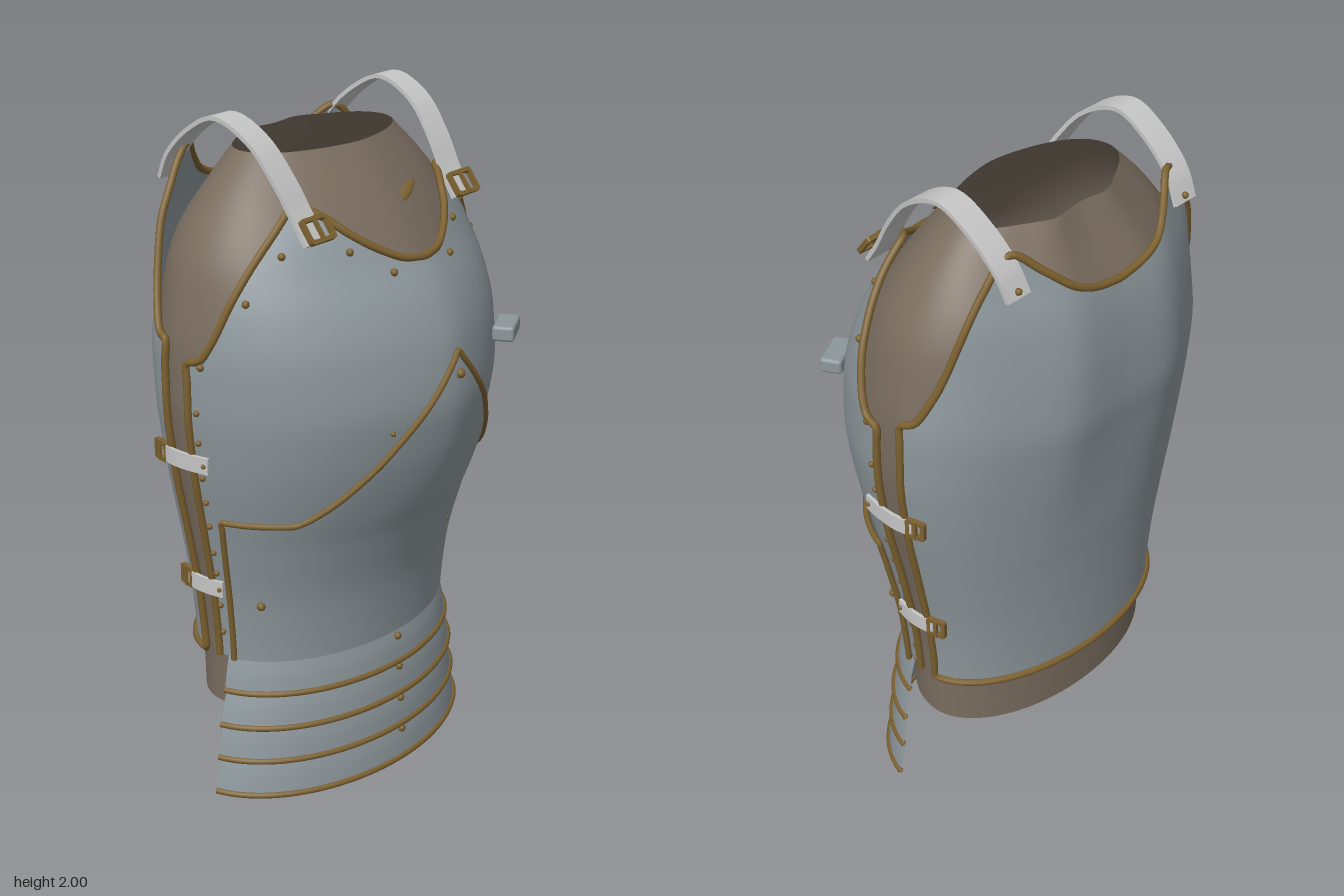
import * as THREE from 'three';
import { RoundedBoxGeometry } from 'three/addons/geometries/RoundedBoxGeometry.js';

const mat = (name, color) => Object.assign(new THREE.MeshStandardMaterial({ color, side: THREE.DoubleSide }), { name });
const RAD = Math.PI / 180, ZC = -0.1;

// Monotone cubic lookup of column k in rows sorted by column 0
function lookup(rows, v, k) {
  const n = rows.length - 1;
  let i = 0;
  while (i < n - 1 && v > rows[i + 1][0]) i++;
  const sec = j => (rows[j + 1][k] - rows[j][k]) / (rows[j + 1][0] - rows[j][0]);
  const slope = j => {
    if (j === 0) return sec(0);
    if (j === n) return sec(n - 1);
    const p = sec(j - 1), q = sec(j);
    return p * q <= 0 ? 0 : 2 * p * q / (p + q);
  };
  const h = rows[i + 1][0] - rows[i][0], u = THREE.MathUtils.clamp((v - rows[i][0]) / h, 0, 1);
  const u2 = u * u, u3 = u2 * u;
  return rows[i][k] * (2 * u3 - 3 * u2 + 1) + rows[i + 1][k] * (3 * u2 - 2 * u3)
    + h * (slope(i) * (u3 - 2 * u2 + u) + slope(i + 1) * (u3 - u2));
}

// Torso cross-sections: height, half width, front z, back z
const base = [
  [0.25, 0.445, 0.2, -0.355], [0.43, 0.45, 0.21, -0.358], [0.6, 0.465, 0.23, -0.365],
  [0.8, 0.5, 0.29, -0.38], [0.9, 0.52, 0.335, -0.39], [1.0, 0.54, 0.375, -0.398],
  [1.1, 0.555, 0.405, -0.408], [1.23, 0.567, 0.425, -0.422], [1.37, 0.565, 0.41, -0.438],
  [1.5, 0.545, 0.365, -0.435]];
const FRONT = [...base, [1.61, 0.51, 0.3, -0.42], [1.7, 0.465, 0.25, -0.39], [1.77, 0.41, 0.205, -0.35], [1.85, 0.33, 0.14, -0.3]];
const BACK = [...base, [1.6, 0.53, 0.3, -0.425], [1.7, 0.52, 0.25, -0.405], [1.8, 0.5, 0.2, -0.37], [1.89, 0.5, 0.14, -0.335]];
const BODY = [...base, [1.61, 0.52, 0.295, -0.42], [1.7, 0.475, 0.235, -0.385], [1.8, 0.4, 0.16, -0.32], [1.89, 0.31, 0.085, -0.27]];

// Point on a torso surface; t in degrees, 0 = front, 90 = left side
function at(rows, t, y, off = 0) {
  const s = Math.sin(t * RAD), c = Math.cos(t * RAD), as = Math.abs(s);
  const x = (lookup(rows, y, 1) + off) * s;
  if (c >= 0) {
    const ridge = 0.19 * THREE.MathUtils.smoothstep(y, 0.4, 1.2) * (Math.sqrt(s * s + 0.01) - 0.1) * (1 - as);
    return new THREE.Vector3(x, y, ZC + (lookup(rows, y, 2) - ZC + off) * (c - ridge));
  }
  const blade = 0.02 * THREE.MathUtils.smoothstep(y, 0.8, 1.4) * Math.exp(-(((as - 0.35) / 0.2) ** 2));
  return new THREE.Vector3(x, y, ZC + (lookup(rows, y, 3) - ZC - off) * -c - blade);
}

// Sheet between y0 and top(t)
function sheet(rows, t0, t1, y0, top, off, nt = 96, ny = 40) {
  const pos = [], idx = [];
  for (let i = 0; i <= nt; i++) {
    const t = t0 + (t1 - t0) * i / nt, yt = top(t);
    for (let j = 0; j <= ny; j++) {
      pos.push(...at(rows, t, y0 + (yt - y0) * j / ny, off));
      if (i < nt && j < ny) {
        const a = i * (ny + 1) + j, b = a + ny + 1;
        idx.push(a, b, b + 1, a, b + 1, a + 1);
      }
    }
  }
  const g = new THREE.BufferGeometry();
  g.setAttribute('position', new THREE.Float32BufferAttribute(pos, 3));
  g.setIndex(idx);
  g.computeVertexNormals();
  return g;
}

// Rolled edge through surface points
function tube(pts, r, closed = false) {
  const curve = new THREE.CatmullRomCurve3(pts, closed, 'centripetal');
  curve.arcLengthDivisions = 800;
  return new THREE.TubeGeometry(curve, 320, r, 8, closed);
}

// Points up one side, along the top and down the other side
function outline(rows, t0, t1, y0, top, off, bottom) {
  const p = [], N = 16;
  for (let i = 0; i < N; i++) p.push(at(rows, t0, y0 + (top(t0) - y0) * i / N, off));
  for (let i = 0; i <= 90; i++) { const t = t0 + (t1 - t0) * i / 90; p.push(at(rows, t, top(t), off)); }
  for (let i = 1; i <= N; i++) p.push(at(rows, t1, top(t1) + (y0 - top(t1)) * i / N, off));
  if (bottom) for (let i = 1; i < 40; i++) p.push(at(rows, t1 + (t0 - t1) * i / 40, y0, off));
  return p;
}

// Flat band bent along a curve; side is its width direction
function band(pts, side, w, thick) {
  const curve = new THREE.CatmullRomCurve3(pts), g = new THREE.BoxGeometry(w, thick, 1, 1, 1, 32);
  const p = g.attributes.position;
  for (let i = 0; i < p.count; i++) {
    const u = p.getZ(i) + 0.5, n = new THREE.Vector3().crossVectors(curve.getTangent(u), side).normalize();
    const q = curve.getPoint(u).addScaledVector(side, p.getX(i)).addScaledVector(n, p.getY(i));
    p.setXYZ(i, q.x, q.y, q.z);
  }
  g.computeVertexNormals();
  return g;
}

export function createModel() {
  const steel = mat('steel', 0x8d979c), brass = mat('brass', 0x7c6130);
  const leather = mat('brown lining', 0x7a6d5f), pale = mat('pale strap', 0xc6c6c6);
  const root = new THREE.Group();
  root.name = 'torsoArmour';
  const add = (name, geo, m, parent = root) => {
    const mesh = new THREE.Mesh(geo, m);
    mesh.name = name;
    parent.add(mesh);
    return mesh;
  };

  // Lining
  add('lining', sheet(BODY, -180, 180, 0.255, () => 1.89, -0.02), leather);

  // Breastplate, with neckline and arm openings
  const frontTop = [[0, 1.61], [7, 1.617], [16, 1.65], [26, 1.7], [35, 1.745], [47, 1.775], [55, 1.71], [69, 1.55], [77, 1.42], [80, 1.385], [85, 1.37]];
  const fTop = t => lookup(frontTop, Math.abs(t), 1);
  add('breastplate', sheet(FRONT, -85, 85, 0.43, fTop, 0, 120), steel);
  add('breastplateTrim', tube(outline(FRONT, -85, 85, 0.43, fTop, 0.004), 0.011), brass);

  // Pointed lower plate
  const chevron = [[0, 1.365], [12.7, 1.215], [27.3, 1.05], [38.5, 0.955], [47, 0.908], [50, 0.9], [75.5, 0.9]];
  const cTop = t => lookup(chevron, Math.abs(t), 1);
  add('lowerPlate', sheet(FRONT, -75.5, 75.5, 0.43, cTop, 0.012), steel);
  add('lowerPlateTrim', tube(outline(FRONT, -75.5, 75.5, 0.43, cTop, 0.014), 0.009), brass);

  // Backplate
  const backTop = [[0, 1.725], [8, 1.735], [18, 1.765], [28, 1.83], [37, 1.885], [51, 1.79], [60.5, 1.66], [69, 1.52], [77, 1.43], [83, 1.415]];
  const bTop = t => lookup(backTop, Math.abs(180 - t), 1);
  add('backplate', sheet(BACK, 97, 263, 0.43, bTop, 0, 120), steel);
  add('backplateTrim', tube(outline(BACK, 97, 263, 0.43, bTop, 0.003, true), 0.011, true), brass);

  // Overlapping skirt bands
  const hems = [[0.33, 0.478, 0.233], [0.225, 0.5, 0.24], [0.12, 0.513, 0.246], [0.012, 0.528, 0.256]];
  const tops = [[0.435, 0.455, 0.215], [0.335, 0.466, 0.222], [0.23, 0.487, 0.23], [0.125, 0.5, 0.235]];
  hems.forEach((hem, i) => {
    const mid = [(hem[0] + tops[i][0]) / 2, (hem[1] + tops[i][1]) / 2 + 0.002, (hem[2] + tops[i][2]) / 2 + 0.003];
    const rows = [hem, mid, tops[i]].map(r => [...r, -0.3]);
    add('skirtBand', sheet(rows, -79.5, 79.5, hem[0], () => tops[i][0], 0, 64, 6), steel);
    const pts = [];
    for (let k = 0; k <= 40; k++) pts.push(at(rows, -79.5 + 159 * k / 40, hem[0]));
    add('skirtTrim', tube(pts, 0.009), brass);
    rivet(at(rows, 0, tops[i][0] - 0.025, 0.003), 0.012);
  });

  // Rivets
  function rivet(p, r = 0.011) {
    add('rivet', new THREE.SphereGeometry(r, 10, 8), brass).position.copy(p);
  }
  const atX = (x, y, off) => at(FRONT, Math.asin(x / lookup(FRONT, y, 1)) / RAD, y, off);
  rivet(atX(0, 1.3, 0.014), 0.014);
  rivet(atX(-0.205, 1.165, 0.002), 0.008);
  rivet(atX(0.205, 0.73, 0.012), 0.006);
  for (const s of [-1, 1]) {
    for (const [x, y] of [[0.12, 1.59], [0.22, 1.655], [0.38, 1.66], [0.48, 1.545]]) rivet(atX(s * x, y, 0.003));
    rivet(atX(s * 0.41, 0.62, 0.014), 0.013);
    rivet(at(FRONT, s * 80, 1.365, 0.003));
    for (const y of [1.23, 1.14, 1.03, 0.95, 0.87, 0.78, 0.71, 0.6, 0.51]) rivet(at(FRONT, s * 82, y, 0.003), 0.009);
  }

  // Buckle frame with centre bar and prong
  function buckle(w, h) {
    const g = new THREE.Group();
    g.name = 'buckle';
    const rim = (a, b, P) => {
      const c = 0.3 * Math.min(a, b);
      const p = new P();
      p.moveTo(-a + c, -b); p.lineTo(a - c, -b); p.quadraticCurveTo(a, -b, a, -b + c);
      p.lineTo(a, b - c); p.quadraticCurveTo(a, b, a - c, b);
      p.lineTo(-a + c, b); p.quadraticCurveTo(-a, b, -a, b - c);
      p.lineTo(-a, -b + c); p.quadraticCurveTo(-a, -b, -a + c, -b);
      return p;
    };
    const shape = rim(w / 2, h / 2, THREE.Shape);
    shape.holes.push(rim(w / 2 - 0.012, h / 2 - 0.012, THREE.Path));
    add('buckleFrame', new THREE.ExtrudeGeometry(shape, { depth: 0.014, bevelEnabled: false }), brass, g);
    add('bucklePin', new THREE.BoxGeometry(0.01, h, 0.01), brass, g).position.z = 0.012;
    root.add(g);
    return g;
  }

  for (const s of [-1, 1]) {
    // Shoulder straps
    const path = [[0.315, 1.69, 0.185], [0.318, 1.755, 0.14], [0.328, 1.85, 0.082], [0.338, 1.945, 0], [0.342, 1.993, -0.115],
      [0.34, 1.948, -0.215], [0.335, 1.865, -0.305], [0.328, 1.79, -0.345]].map(p => new THREE.Vector3(s * p[0], p[1], p[2]));
    add('shoulderStrap', band(path, new THREE.Vector3(1, 0, 0), 0.082, 0.012), pale);
    const b = buckle(0.1, 0.075);
    b.position.set(s * 0.312, 1.728, 0.185);
    b.rotation.x = -0.65;
    rivet(new THREE.Vector3(s * 0.328, 1.81, -0.345), 0.01);

    // Side straps
    for (const y of [1.08, 0.665]) {
      const pts = [[FRONT, 78], [FRONT, 84], [FRONT, 90], [BACK, 97], [BACK, 102]].map(([r, t]) => at(r, s * t, y, 0.016));
      add('sideStrap', band(pts, new THREE.Vector3(0, 1, 0), 0.048, 0.01), pale);
      const sb = buckle(0.06, 0.06);
      sb.position.copy(at(BACK, s * 104, y, 0.01));
      sb.rotation.y = s * 104 * RAD;
      rivet(at(FRONT, s * 79.5, y, 0.022), 0.007);
    }
  }

  // Lance rest
  const rest = add('lanceRest', new RoundedBoxGeometry(0.125, 0.046, 0.065, 3, 0.01), steel);
  rest.position.set(0.355, 1.312, 0.327);
  rest.rotation.y = 0.48;

  // Slanted oval on the lining at the chest
  const oval = add('chestOval', new THREE.SphereGeometry(0.5, 20, 12), brass);
  oval.scale.set(0.105, 0.03, 0.012);
  oval.position.copy(at(BODY, 12, 1.752, -0.018));
  oval.rotation.set(-0.75, 0, 0.5);

  return root;
}
